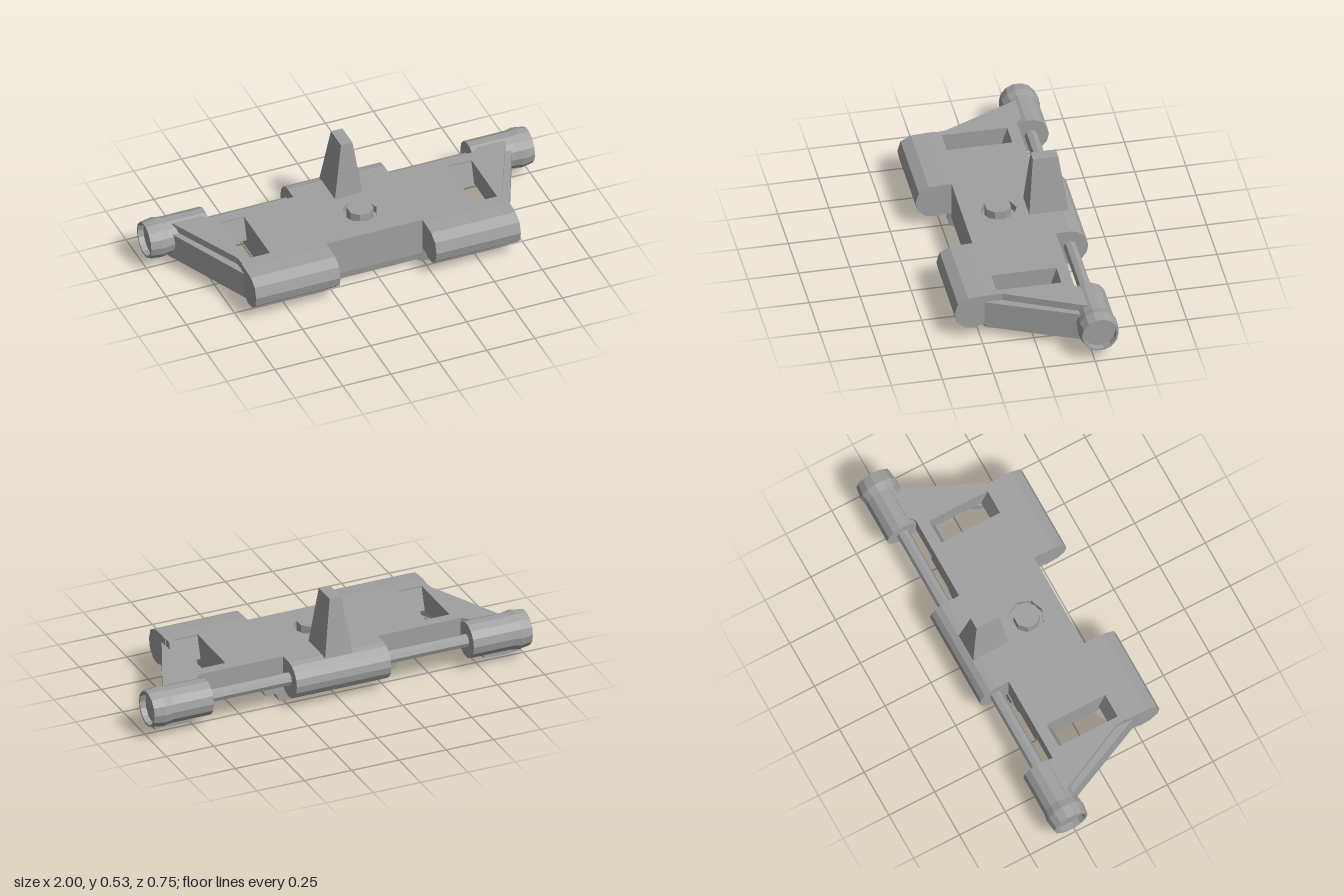
import * as THREE from 'three';

const mat = new THREE.MeshStandardMaterial({ color: 0xa0a0a0, flatShading: true });

export function createModel() {
  const root = new THREE.Group();
  const add = (name, geo, x = 0, y = 0, z = 0) => {
    const m = new THREE.Mesh(geo, mat);
    m.name = name;
    m.position.set(x, y, z);
    root.add(m);
    return m;
  };

  // Outlines are given as [x, z] pairs seen from above
  const toPath = (pts, Kind = THREE.Shape) => new Kind(pts.map(([x, z]) => new THREE.Vector2(x, -z)));
  const mirrorX = (pts) => pts.map(([x, z]) => [-x, z]).reverse();
  const symmetric = (half) => [...half, ...mirrorX(half)];
  const slab = (pts, y0, y1, holes = []) => {
    const s = toPath(pts);
    s.holes = holes.map((h) => toPath(h, THREE.Path));
    const g = new THREE.ExtrudeGeometry(s, { depth: y1 - y0, bevelEnabled: false });
    return g.rotateX(-Math.PI / 2).translate(0, y0, 0);
  };
  // Slab whose bottom face is narrowed in x, and pulled back at the front
  const taperedSlab = (pts, y0, y1, narrow, pull) => {
    const g = slab(pts, y0, y1);
    const p = g.attributes.position;
    for (let i = 0; i < p.count; i++) {
      if (p.getY(i) > (y0 + y1) / 2) continue;
      p.setX(i, p.getX(i) * narrow);
      if (p.getZ(i) > 0.19) p.setZ(i, p.getZ(i) - pull);
    }
    g.computeVertexNormals();
    return g;
  };
  // Cross-sections are given as [z, y] pairs and swept along x
  const sweep = (pts, x0, x1) => {
    const s = new THREE.Shape(pts.map(([z, y]) => new THREE.Vector2(z, y)));
    const g = new THREE.ExtrudeGeometry(s, { depth: x1 - x0, bevelEnabled: false });
    return g.rotateY(-Math.PI / 2).translate(x1, 0, 0);
  };
  const both = (fn) => [1, -1].forEach(fn);
  const sweepSide = (pts, a, b, s) => sweep(pts, Math.min(a * s, b * s), Math.max(a * s, b * s));

  // Thick core, with a thinner plate that carries the windows and slanted arms
  const win = [[0.53, -0.155], [0.655, -0.155], [0.655, 0.165], [0.53, 0.165]];
  const windows = [win, mirrorX(win)];
  const octagon = Array.from({ length: 8 }, (_, i) => {
    const a = (i / 8) * Math.PI * 2;
    return [0.088 * Math.cos(a), 0.02 + 0.088 * Math.sin(a)];
  });
  const core = [[0.25, 0.2], [0.68, 0.2], [0.68, 0.165], [0.53, 0.165], [0.53, -0.21], [0.25, -0.21], [0.25, -0.275]];
  const lower = [[0.25, 0.2], [0.69, 0.23], [0.91, -0.26], [0.72, -0.26], [0.69, -0.21], [0.25, -0.21], [0.25, -0.275]];
  const upper = [[0.25, 0.2], [0.685, 0.2], [0.69, 0.14], [0.87, -0.24], [0.72, -0.24], [0.69, -0.21], [0.25, -0.21], [0.25, -0.275]];
  add('core', slab(symmetric(core), 0.075, 0.12));
  add('lowerPlate', slab(symmetric(lower), 0.12, 0.2, windows));
  add('upperPlate', slab(symmetric(upper), 0.2, 0.237, [...windows, octagon]));

  // Sloped ends inside the two windows
  both((s) => {
    add('windowRampBack', sweepSide([[-0.155, 0.23], [-0.155, 0.12], [-0.12, 0.12]], 0.53, 0.655, s));
    add('windowRampFront', sweepSide([[0.165, 0.23], [0.13, 0.12], [0.165, 0.12]], 0.53, 0.655, s));
  });

  // Rounded front lugs
  const lugProfile = [[0.19, 0.07], [0.25, 0.07], [0.27, 0.058], [0.325, 0.065], [0.365, 0.1], [0.376, 0.15],
    [0.36, 0.205], [0.31, 0.232], [0.23, 0.237], [0.19, 0.237]];
  both((s) => add('frontLug', sweepSide(lugProfile, 0.25, 0.69, s)));

  // Underside: tapered pad and step, blocks below the lugs, walls below the arms
  const pad = [[0.25, 0.2], [0.27, 0.22], [0.5, 0.22], [0.5, 0.12], [0.3, -0.1], [0.3, -0.215]];
  add('bottomPad', taperedSlab(symmetric(pad), 0, 0.06, 0.9, 0.01));
  const step = [[0.25, 0.2], [0.66, 0.2], [0.66, 0.17], [0.53, 0.1], [0.36, -0.12], [0.36, -0.21]];
  add('bottomStep', taperedSlab(symmetric(step), 0.04, 0.076, 0.95, 0));
  const block = [[0.28, 0.255], [0.28, 0.19], [0.66, 0.19], [0.66, 0.255]].reverse();
  const wall = [[0.63, 0.24], [0.69, 0.23], [0.91, -0.26], [0.85, -0.26], [0.64, 0.19]];
  const rib = [[0.63, 0.24], [0.67, 0.22], [0.9, -0.29], [0.84, -0.29], [0.63, 0.19]];
  both((s) => {
    const side = (pts) => (s > 0 ? pts : mirrorX(pts));
    add('lugBlock', taperedSlab(side(block), 0.04, 0.076, 0.97, 0.008));
    add('armWall', slab(side(wall), 0.076, 0.13));
    add('armRib', slab(side(rib), 0.04, 0.08));
    add('barrelFoot', new THREE.BoxGeometry(0.2, 0.05, 0.04), s * 0.87, 0.065, -0.275);
  });

  // Rear hinge: centre knuckle, rod and hollow-ended barrels
  const axisY = 0.15, axisZ = -0.275;
  const rod = (r, len, n) => new THREE.CylinderGeometry(r, r, len, n).rotateZ(Math.PI / 2);
  add('rearKnuckle', rod(0.094, 0.5, 16), 0, axisY - 0.006, axisZ);
  add('hingeRod', rod(0.033, 1.42, 8), 0, axisY, axisZ - 0.005);
  const barrelProfile = [[0, 0.687], [0.092, 0.687], [0.092, 0.9], [0.099, 0.94], [0.09, 1], [0.08, 1], [0.08, 0.97], [0, 0.97]]
    .map(([r, t]) => new THREE.Vector2(r, t));
  both((s) => add('endBarrel', new THREE.LatheGeometry(barrelProfile, 14).rotateZ(-s * Math.PI / 2), 0, axisY, axisZ));

  // Bolt in its octagonal recess
  add('bolt', new THREE.CylinderGeometry(0.065, 0.065, 0.07, 8).rotateY(Math.PI / 8), 0, 0.228, 0.024);

  // Tapered upright fin
  const fin = new THREE.BoxGeometry(0.15, 0.31, 0.196);
  const p = fin.attributes.position;
  for (let i = 0; i < p.count; i++) {
    if (p.getY(i) > 0) {
      p.setX(i, Math.sign(p.getX(i)) * 0.03);
      p.setZ(i, p.getZ(i) > 0 ? 0.07 : -0.055);
    }
  }
  fin.computeVertexNormals();
  add('fin', fin, 0, 0.373, -0.212);

  return root;
}
